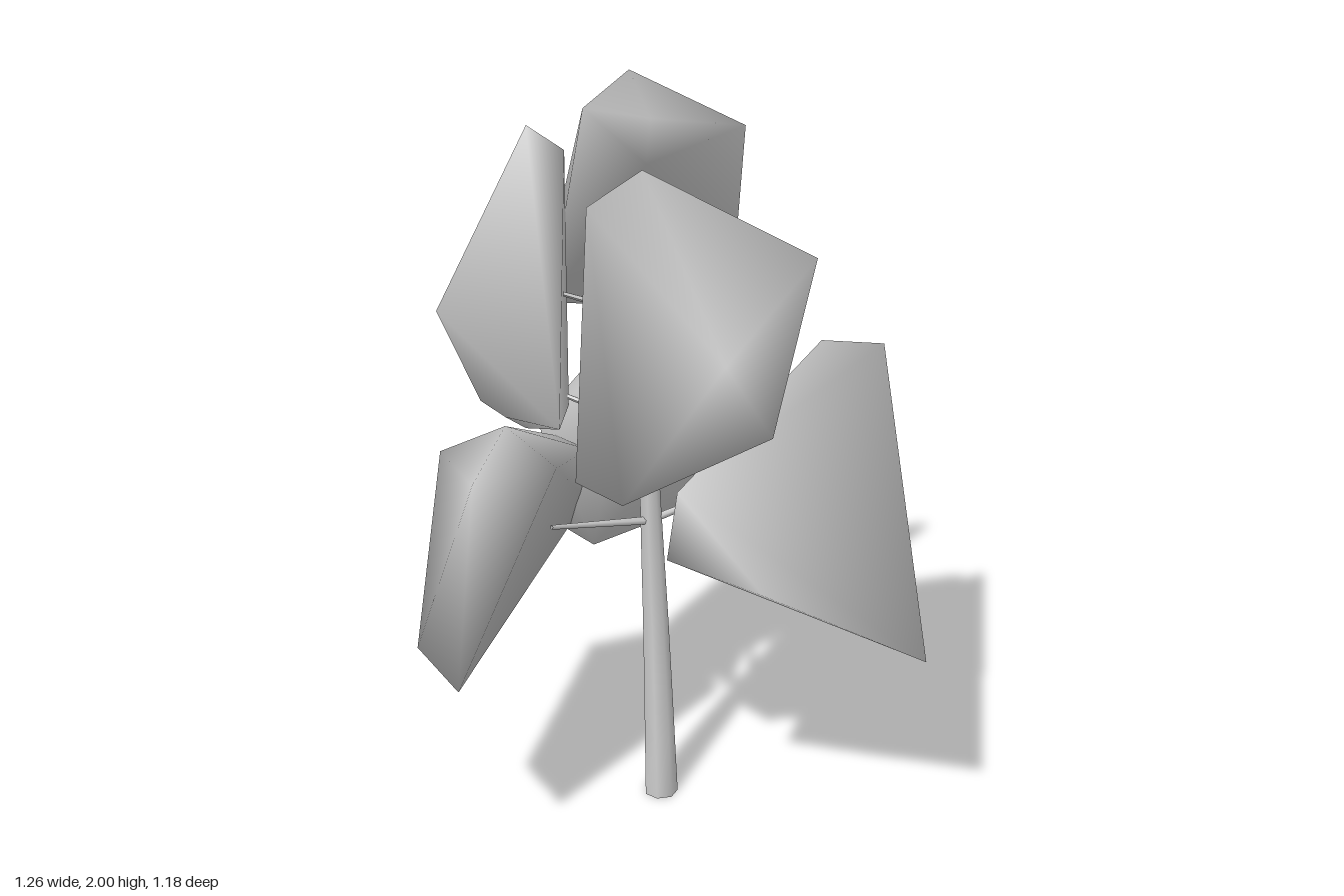
import * as THREE from 'three';
import { ConvexGeometry } from 'three/addons/geometries/ConvexGeometry.js';
import { mergeVertices } from 'three/addons/utils/BufferGeometryUtils.js';

const material = new THREE.MeshStandardMaterial({ color: 0xcccccc });
const barkMaterial = new THREE.MeshStandardMaterial({ color: 0xcccccc, side: THREE.DoubleSide });
const vec = (p) => new THREE.Vector3(...p);

// Faceted foliage mass with smoothed normals, from its corner points
function foliage(name, corners) {
  let geometry = new ConvexGeometry(corners.map(vec));
  geometry.deleteAttribute('normal');
  geometry = mergeVertices(geometry, 1e-4);
  geometry.computeVertexNormals();
  const mesh = new THREE.Mesh(geometry, material);
  mesh.name = name;
  return mesh;
}

// Tube along points whose radius tapers from r0 to r1
function taperedLimb(name, points, r0, r1, sides, steps) {
  const curve = new THREE.CatmullRomCurve3(points.map(vec));
  const geometry = new THREE.TubeGeometry(curve, steps, 1, sides);
  const pos = geometry.attributes.position;
  const v = new THREE.Vector3();
  for (let i = 0; i < pos.count; i++) {
    const t = Math.floor(i / (sides + 1)) / steps;
    const centre = curve.getPointAt(t);
    v.fromBufferAttribute(pos, i).sub(centre).multiplyScalar(r0 + (r1 - r0) * t).add(centre);
    if (t === 0 && points[0][1] === 0) v.y = 0;
    pos.setXYZ(i, v.x, v.y, v.z);
  }
  geometry.computeVertexNormals();
  const mesh = new THREE.Mesh(geometry, barkMaterial);
  mesh.name = name;
  return mesh;
}

export function createModel() {
  const tree = new THREE.Group();
  tree.name = 'tree';

  // Trunk, leaning slightly
  tree.add(taperedLimb('trunk', [
    [-0.027, 0, 0.077], [-0.041, 0.5, 0.056], [-0.055, 0.9, 0.055], [-0.06, 1.3, 0.065], [-0.06, 1.74, 0.085],
  ], 0.045, 0.01, 7, 10));
  const base = new THREE.Mesh(new THREE.CircleGeometry(0.043, 7), barkMaterial);
  base.name = 'trunkBase';
  base.rotation.x = Math.PI / 2;
  base.position.set(-0.027, 0.001, 0.077);
  tree.add(base);

  // Thin branches: start height on the trunk, then tip
  const branches = [
    [0.8, [-0.3, 0.87, 0.24]],
    [0.8, [0.15, 0.85, -0.02]],
    [0.8, [-0.08, 0.88, -0.15]],
    [1.06, [0.31, 1.16, -0.13]],
    [1.06, [-0.28, 1.13, 0]],
    [1.06, [0.05, 1.14, 0.25]],
    [1.36, [-0.05, 1.43, -0.14]],
    [1.36, [-0.27, 1.45, 0.12]],
    [1.36, [0.06, 1.45, 0.2]],
  ];
  for (const [y, tip] of branches) {
    tree.add(taperedLimb('branch', [[-0.055, y, 0.06], tip], 0.011, 0.006, 5, 1));
  }

  // Upper foliage
  tree.add(foliage('upperFrontFoliage', [
    [-0.07, 1.83, 0.31], [-0.2, 1.76, 0.37], [0.37, 1.47, -0.06], [0.29, 1.28, -0.05],
    [0.1, 1.4, -0.03], [0.12, 1.45, 0.59], [0.23, 1.27, 0.59], [-0.12, 1.06, 0.51], [-0.235, 1.05, 0.36],
  ]));
  tree.add(foliage('topBackFoliage', [
    [-0.1, 2, 0.07], [-0.21, 1.93, 0.15], [-0.05, 1.92, 0.2], [-0.06, 1.8, 0.18], [0.19, 1.78, -0.18],
    [0.17, 1.4, -0.27], [0.04, 1.27, -0.42], [-0.28, 1.52, -0.32], [-0.31, 1.3, -0.2], [0, 1.25, -0.28],
  ]));
  tree.add(foliage('upperRightFoliage', [
    [-0.35, 1.85, 0.03], [-0.26, 1.77, -0.02], [-0.565, 1.46, 0.26], [-0.46, 1.26, 0.34], [-0.4, 1.23, 0.37],
    [-0.27, 1.21, 0.4], [-0.37, 1.02, -0.03], [-0.26, 1.08, -0.04], [-0.33, 1.5, -0.09],
  ]));

  // Lower foliage
  tree.add(foliage('lowerLeftFoliage', [
    [0.57, 1.13, -0.32], [0.395, 1.19, -0.2], [0.22, 0.86, -0.32], [0.63, 0.58, 0.42],
    [0.6, 0.62, 0.18], [0.01, 1.08, 0.48], [-0.015, 0.92, 0.52], [0.22, 0.81, 0.5],
  ]));
  tree.add(foliage('lowerRightFoliage', [
    [-0.4, 1.22, 0.4], [-0.475, 1.12, 0.52], [-0.28, 1.1, 0.38], [-0.59, 0.97, 0], [-0.63, 0.63, 0.42],
    [-0.52, 0.6, 0.59], [-0.22, 0.74, -0.19], [-0.21, 0.95, -0.05], [-0.3, 0.95, -0.14],
  ]));
  tree.add(foliage('lowerBackFoliage', [
    [0, 1.29, -0.24], [-0.1, 1.26, -0.22], [-0.1, 1.2, -0.1], [-0.16, 1.07, -0.47], [-0.34, 0.98, -0.18],
    [-0.33, 0.7, -0.17], [-0.03, 0.6, -0.59], [0.14, 0.6, -0.49], [0.08, 1.2, -0.33], [0.08, 0.96, -0.165],
    [-0.2, 0.7, 0],
  ]));
  return tree;
}
